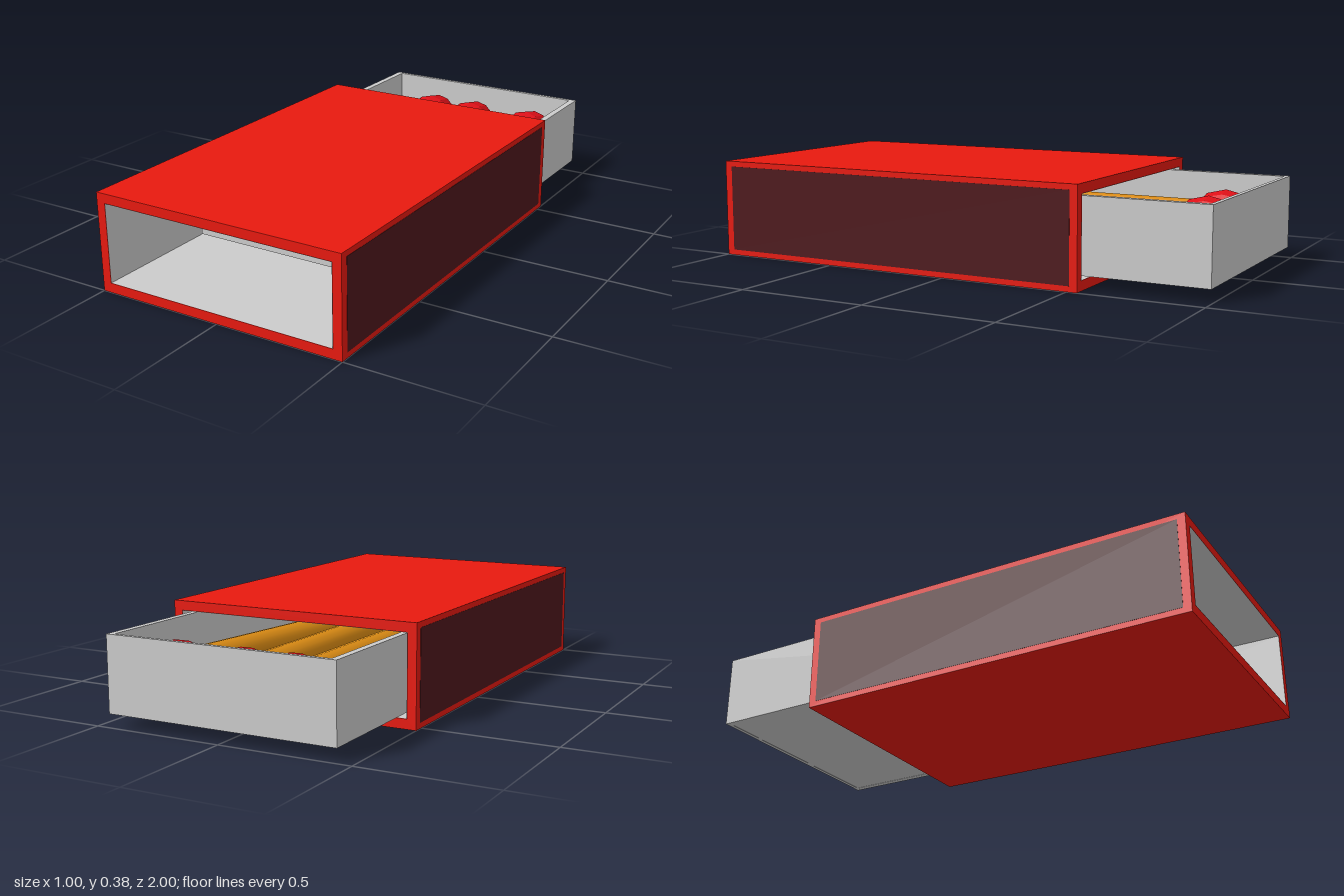
import * as THREE from 'three';

const mat = (color, extra = {}) => new THREE.MeshStandardMaterial({ color, ...extra });

function rect(Type, w, y0, y1) {
  return new Type([
    new THREE.Vector2(-w, y0), new THREE.Vector2(w, y0),
    new THREE.Vector2(w, y1), new THREE.Vector2(-w, y1),
  ]);
}

export function createModel() {
  const model = new THREE.Group();
  model.name = 'matchbox';
  const red = mat(0xe8190f);
  const dark = mat(0x4e181c);
  const grey = mat(0xcccccc);
  const wood = mat(0xd98a14);
  const tip = mat(0xdd1018, { flatShading: true });

  const add = (parent, name, geometry, material, x = 0, y = 0, z = 0) => {
    const mesh = new THREE.Mesh(geometry, material);
    mesh.name = name;
    mesh.position.set(x, y, z);
    parent.add(mesh);
    return mesh;
  };

  // Sleeve: a rectangular tube open at both ends
  const zBack = -0.54, zFront = 1, length = zFront - zBack, zMid = (zFront + zBack) / 2;
  const frame = rect(THREE.Shape, 0.5, 0, 0.375);
  frame.holes.push(rect(THREE.Path, 0.465, 0.037, 0.339));
  add(model, 'sleeve', new THREE.ExtrudeGeometry(frame, { depth: length, bevelEnabled: false }), red, 0, 0, zBack);

  // Bare card lining the inside of the sleeve
  const lining = new THREE.Group();
  lining.name = 'sleeveLining';
  model.add(lining);
  const inner = mat(0xcccccc, { side: THREE.DoubleSide });
  for (const s of [-1, 1]) {
    const side = add(lining, 'liningSide', new THREE.PlaneGeometry(length, 0.3), inner, s * 0.464, 0.188, zMid);
    side.rotation.y = -s * Math.PI / 2;
    const flat = add(lining, 'liningFlat', new THREE.PlaneGeometry(0.928, length), inner, 0, 0.188 + s * 0.15, zMid);
    flat.rotation.x = s * Math.PI / 2;
  }

  // Striking strips on both long sides
  for (const s of [-1, 1]) {
    add(model, 'strikingStrip', new THREE.BoxGeometry(0.004, 0.333, 1.48), dark, s * 0.499, 0.1875, zMid);
  }

  // Tray: floor and four thin walls, pulled out at the back
  const tray = new THREE.Group();
  tray.name = 'tray';
  model.add(tray);
  const t0 = -1, t1 = 0.51, tMid = (t0 + t1) / 2, tLen = t1 - t0;
  const yLow = 0.05, yHigh = 0.33, wall = 0.025, end = 0.016;
  const walls = rect(THREE.Shape, 0.447, t0, t1);
  walls.holes.push(rect(THREE.Path, 0.447 - wall, t0 + end, t1 - end));
  const wallGeo = new THREE.ExtrudeGeometry(walls, { depth: yHigh - yLow, bevelEnabled: false });
  wallGeo.rotateX(Math.PI / 2);
  add(tray, 'trayWalls', wallGeo, grey, 0, yHigh, 0);
  add(tray, 'trayFloor', new THREE.BoxGeometry(0.88, 0.018, tLen - 0.02), grey, 0, yLow + 0.01, tMid);

  // Matches: faceted heads on round sticks, heads toward the back
  const headProfile = [[0, -0.1], [0.055, -0.1], [0.082, -0.075], [0.1, 0], [0.083, 0.078], [0.045, 0.1], [0, 0.1]]
    .map(([r, h]) => new THREE.Vector2(r, h));
  const headGeo = new THREE.LatheGeometry(headProfile, 12).rotateX(-Math.PI / 2);
  const stickLength = 1.2;
  const stickGeo = new THREE.CylinderGeometry(0.056, 0.056, stickLength, 16).rotateX(Math.PI / 2);
  for (const [x, turn] of [[-0.182, 0], [0.013, 0], [0.285, -0.12]]) {
    const match = new THREE.Group();
    match.name = 'match';
    match.position.set(x, 0.197, -0.833);
    match.rotation.y = turn;
    add(match, 'matchHead', headGeo, tip);
    add(match, 'matchStick', stickGeo, wood, 0, 0, 0.05 + stickLength / 2);
    model.add(match);
  }

  return model;
}
